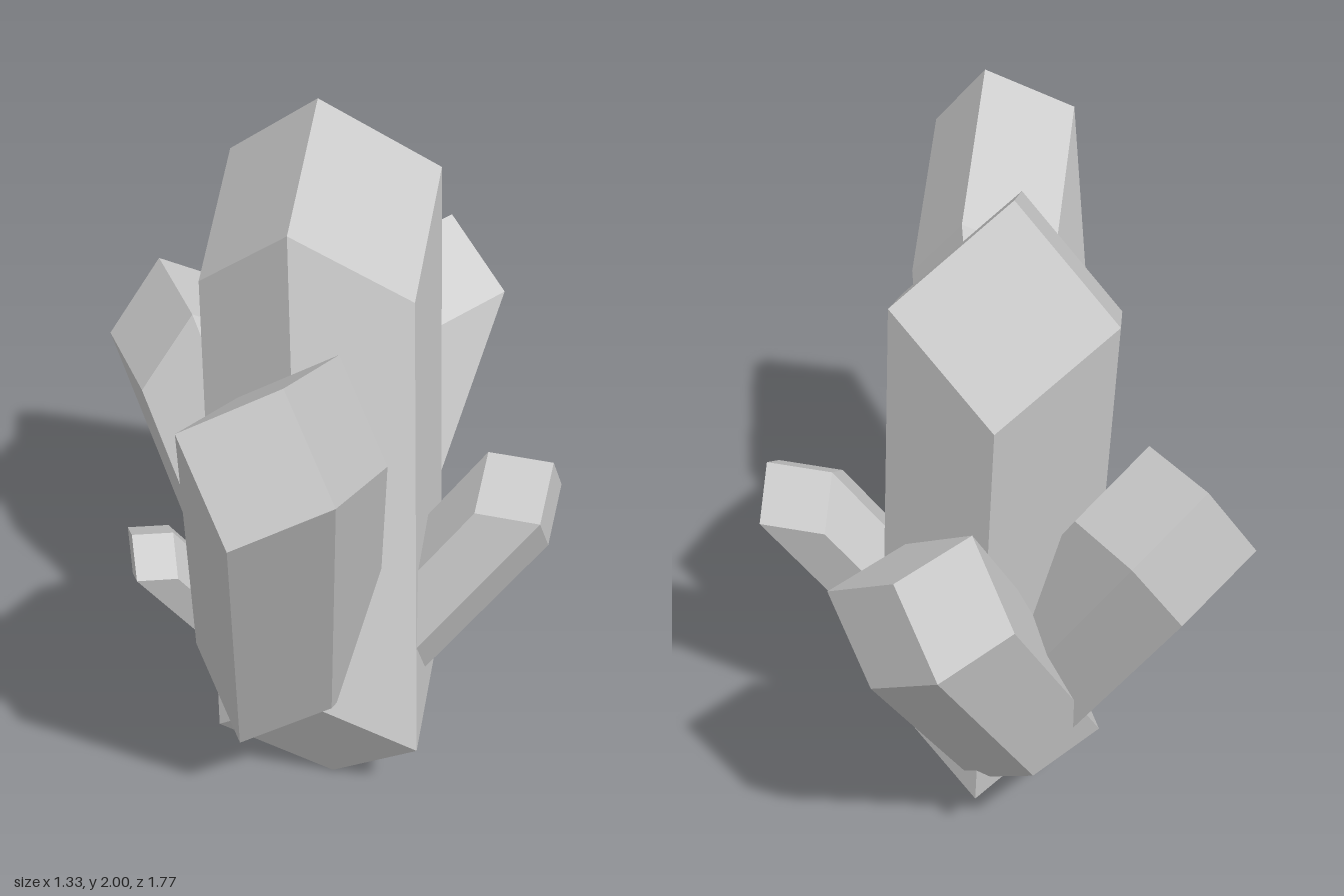
import * as THREE from 'three';
import { ConvexGeometry } from 'three/addons/geometries/ConvexGeometry.js';

const STRETCH = 2; // shaft length, in multiples of the cube corner's diagonal

// Each crystal: its tip and the three edges that run from the tip down to the shoulders
const CRYSTALS = {
  mainCrystal: {
    tip: [-0.04, 2.0, -0.17],
    edges: [[-0.29, -0.255, -0.05], [0.235, -0.23, -0.215], [0.115, -0.181, 0.33]],
  },
  frontCrystal: {
    tip: [0.40, 1.825, 0.70],
    edges: [[-0.21, -0.13, 0.12], [0.175, -0.22, 0.065], [-0.115, -0.21, -0.435]],
  },
  rightCrystal: {
    tip: [-0.567, 1.33, -0.225],
    edges: [[0.208, -0.02, 0.155], [-0.1, -0.22, 0.1], [0.125, -0.14, -0.185]],
  },
  backCrystal: {
    tip: [-0.005, 1.33, -0.83],
    edges: [[-0.13, -0.222, -0.053], [0.21, -0.14, 0.073], [-0.09, -0.015, 0.255]],
  },
  leftCrystal: {
    tip: [0.627, 1.105, -0.24],
    edges: [[-0.17, -0.01, 0.035], [0.037, -0.095, 0.135], [-0.015, -0.134, -0.09]],
  },
  smallCrystal: {
    tip: [-0.26, 0.92, 0.38],
    edges: [[0.076, -0.013, -0.077], [0.042, -0.105, 0.045], [-0.07, -0.058, -0.08]],
  },
};

// A box standing on its corner, pulled long along its diagonal:
// six shaft faces with three faces on each end
function crystalGeometry({ tip, edges }) {
  const top = new THREE.Vector3(...tip);
  const [a, b, c] = edges.map((e) => new THREE.Vector3(...e));
  const shaft = new THREE.Vector3().add(a).add(b).add(c).multiplyScalar(STRETCH);
  const points = [];
  for (let i = 0; i < 8; i++) {
    const corner = top.clone();
    if (i & 1) corner.add(a);
    if (i & 2) corner.add(b);
    if (i & 4) corner.add(c);
    if (i !== 7) points.push(corner); // upper end, without its inner corner
    if (i !== 0) points.push(corner.clone().add(shaft)); // lower end, likewise
  }
  return new ConvexGeometry(points);
}

export function createModel() {
  const group = new THREE.Group();
  group.name = 'crystalCluster';
  const material = new THREE.MeshStandardMaterial({ color: 0xcccccc, flatShading: true });
  for (const [name, spec] of Object.entries(CRYSTALS)) {
    const mesh = new THREE.Mesh(crystalGeometry(spec), material);
    mesh.name = name;
    group.add(mesh);
  }
  return group;
}
